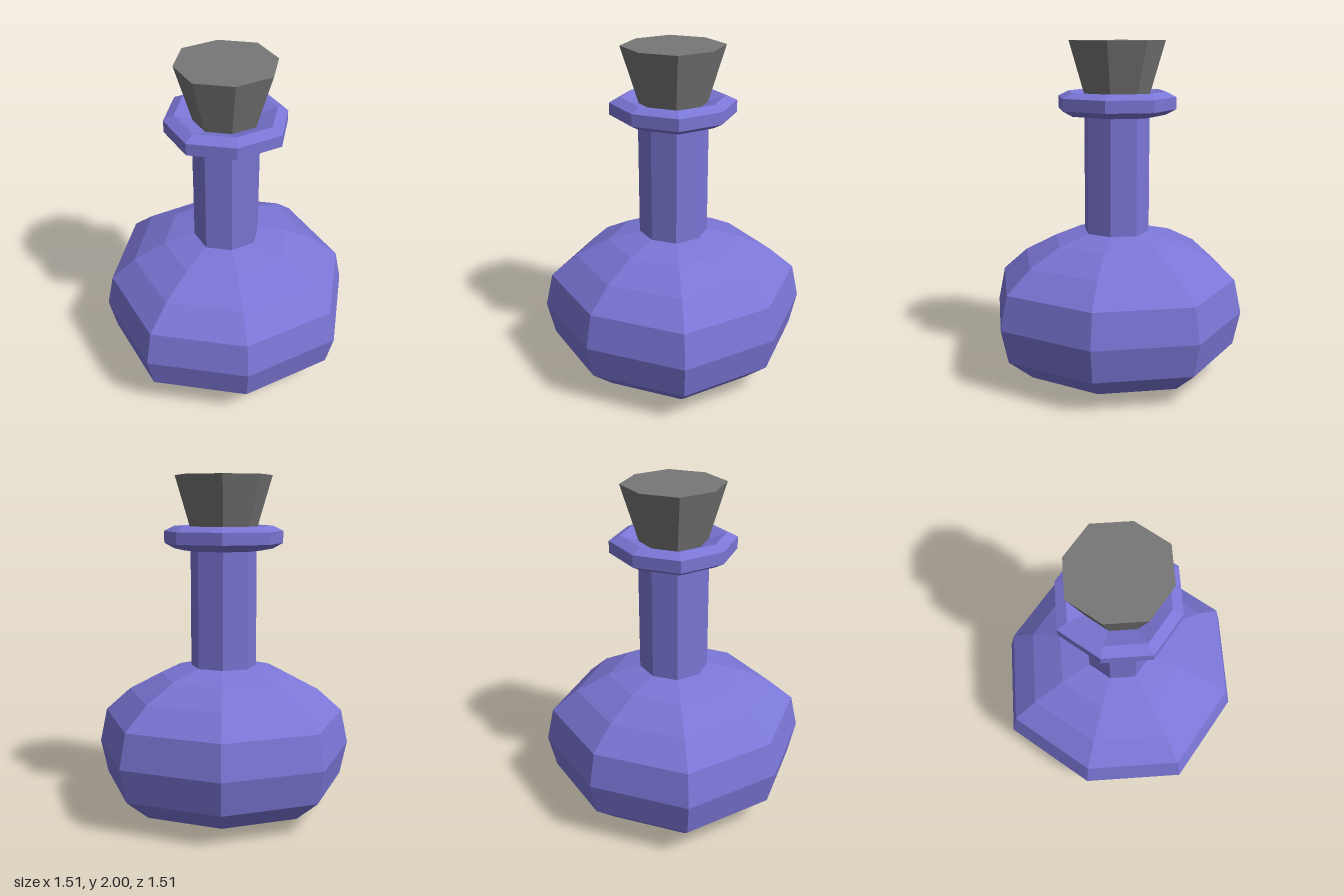
import * as THREE from 'three';

const glass = new THREE.MeshStandardMaterial({ color: 0x7b76d6, flatShading: true });
const cork = new THREE.MeshStandardMaterial({ color: 0x777777, flatShading: true });

// Eight-sided turned part; the diagonal corners sit slightly further out
function turned(name, profile, material) {
  const geometry = new THREE.LatheGeometry(profile.map(([r, y]) => new THREE.Vector2(r, y)), 8);
  const pos = geometry.attributes.position;
  for (let i = 0; i < pos.count; i++) {
    const x = pos.getX(i), z = pos.getZ(i);
    const k = Math.abs(x * z) > 1e-6 ? 1.047 : 1;
    pos.setXYZ(i, x * k, pos.getY(i), z * k);
  }
  geometry.computeVertexNormals();
  const mesh = new THREE.Mesh(geometry, material);
  mesh.name = name;
  return mesh;
}

export function createModel() {
  const bottle = new THREE.Group();
  bottle.name = 'stopperedBottle';

  // Squat bulb with a flat base
  bottle.add(turned('body', [
    [0, 0], [0.38, 0], [0.57, 0.07], [0.715, 0.2], [0.757, 0.4],
    [0.715, 0.6], [0.57, 0.73], [0.38, 0.83], [0.195, 0.88],
  ], glass));

  bottle.add(turned('neck', [[0.195, 0.88], [0.195, 1.57]], glass));

  // Bevelled collar, sloping inward around the stopper
  bottle.add(turned('lip', [
    [0.195, 1.565], [0.29, 1.577], [0.35, 1.61], [0.35, 1.68],
    [0.29, 1.71], [0.195, 1.675], [0.16, 1.66],
  ], glass));

  // Tapered plug
  bottle.add(turned('stopper', [[0, 1.62], [0.174, 1.62], [0.285, 2], [0, 2]], cork));

  return bottle;
}
